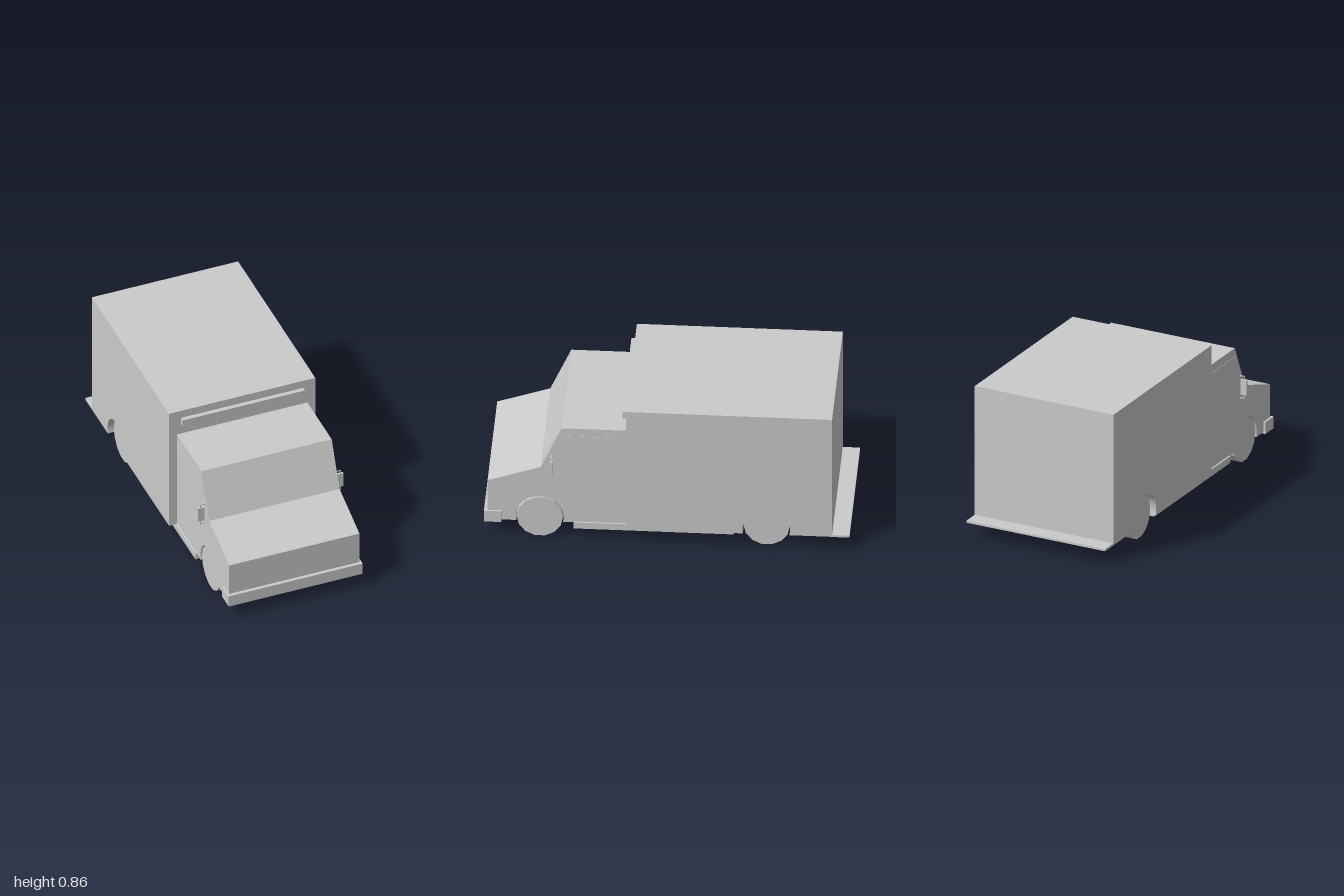
import * as THREE from 'three';

export function createModel() {
  const group = new THREE.Group();
  const mat = new THREE.MeshStandardMaterial({ color: 0xcccccc, flatShading: true });
  const FLOOR = 0.095, WELL = 0.27, CAB = 0.383, BOX = 0.43;

  const add = (name, geo, parent = group) => {
    const m = new THREE.Mesh(geo, mat);
    m.name = name;
    parent.add(m);
    return m;
  };
  // box given by its limits on each axis
  const box = (name, x0, x1, y0, y1, z0, z1, parent) => {
    const m = add(name, new THREE.BoxGeometry(x1 - x0, y1 - y0, z1 - z0), parent);
    m.position.set((x0 + x1) / 2, (y0 + y1) / 2, (z0 + z1) / 2);
    return m;
  };
  // side profile in (z, y), extruded from x0 to x1
  const slab = (name, shape, x0, x1) => {
    const geo = new THREE.ExtrudeGeometry(shape, { depth: x1 - x0, bevelEnabled: false, curveSegments: 16 });
    geo.rotateY(-Math.PI / 2);
    geo.translate(x1, 0, 0);
    return add(name, geo);
  };
  // closed profile whose floor may carry a wheel arch
  const profile = (points, archZ) => {
    const s = new THREE.Shape();
    s.moveTo(points[0][0], points[0][1]);
    if (archZ !== undefined) {
      const r = 0.131, cy = 0.126, a = Math.asin((cy - FLOOR) / r);
      s.lineTo(archZ - r * Math.cos(a), FLOOR);
      s.absarc(archZ, cy, r, Math.PI + a, -a, true);
    }
    points.slice(1).forEach(([z, y]) => s.lineTo(z, y));
    s.closePath();
    return s;
  };
  // solid core plus arched outer slabs, so the wheel wells are closed inside
  const shell = (name, points, archZ, half) => {
    slab(name + 'Core', profile(points), -WELL, WELL);
    slab(name + 'LeftSide', profile(points, archZ), WELL, half);
    slab(name + 'RightSide', profile(points, archZ), -half, -WELL);
  };

  // Cargo box and cab
  shell('cargoBox', [[-0.905, FLOOR], [0.22, FLOOR], [0.22, 0.865], [-0.905, 0.865]], -0.545, BOX);
  shell('cab', [[0.22, FLOOR], [0.98, FLOOR], [0.98, 0.35], [0.69, 0.45], [0.575, 0.71], [0.22, 0.71]], 0.695, CAB);

  // Bumper, rear step, underbody skirt and roof marker bar
  box('frontBumper', -0.394, 0.394, 0.085, 0.155, 0.905, 1);
  box('rearStep', -BOX, BOX, 0.094, 0.106, -1, -0.9);
  box('underbodySkirt', -0.392, 0.392, 0.06, 0.1, -0.365, 0.51);
  box('markerBar', -0.36, 0.36, 0.775, 0.817, 0.215, 0.245);

  // Windshield pane lying on the sloped front
  const slope = Math.atan2(0.115, 0.26);
  const pane = add('windshield', new THREE.BoxGeometry(0.714, 0.225, 0.004));
  pane.position.set(0, 0.567, 0.638);
  pane.rotation.x = -slope;

  // Side windows
  const win = profile([[0.262, 0.43], [0.665, 0.43], [0.575, 0.66], [0.262, 0.66]]);
  slab('leftWindow', win, CAB - 0.01, CAB + 0.002);
  slab('rightWindow', win, -CAB - 0.002, -CAB + 0.01);

  // Wheels: inner and outer x limits, axle z
  const wheels = [
    ['frontLeftWheel', 0.298, 0.385, 0.695],
    ['frontRightWheel', -0.377, -0.292, 0.695],
    ['rearLeftWheel', 0.298, 0.387, -0.545],
    ['rearRightWheel', -0.395, -0.308, -0.545],
  ];
  for (const [name, x0, x1, z] of wheels) {
    const geo = new THREE.CylinderGeometry(0.127, 0.127, x1 - x0, 14);
    geo.rotateZ(Math.PI / 2);
    add(name, geo).position.set((x0 + x1) / 2, 0.126, z);
  }

  // Door mirrors with bracket arms
  for (const s of [1, -1]) {
    const mirror = new THREE.Group();
    mirror.name = s > 0 ? 'leftMirror' : 'rightMirror';
    group.add(mirror);
    const part = (name, x0, x1, y0, y1, z0, z1) =>
      box(name, Math.min(s * x0, s * x1), Math.max(s * x0, s * x1), y0, y1, z0, z1, mirror);
    part('mirrorHousing', 0.391, 0.428, 0.42, 0.508, 0.623, 0.637);
    part('upperArm', 0.38, 0.414, 0.525, 0.53, 0.63, 0.635);
    part('lowerArm', 0.38, 0.414, 0.396, 0.401, 0.63, 0.635);
    part('bracketPost', 0.409, 0.414, 0.396, 0.53, 0.63, 0.635);
  }
  return group;
}
